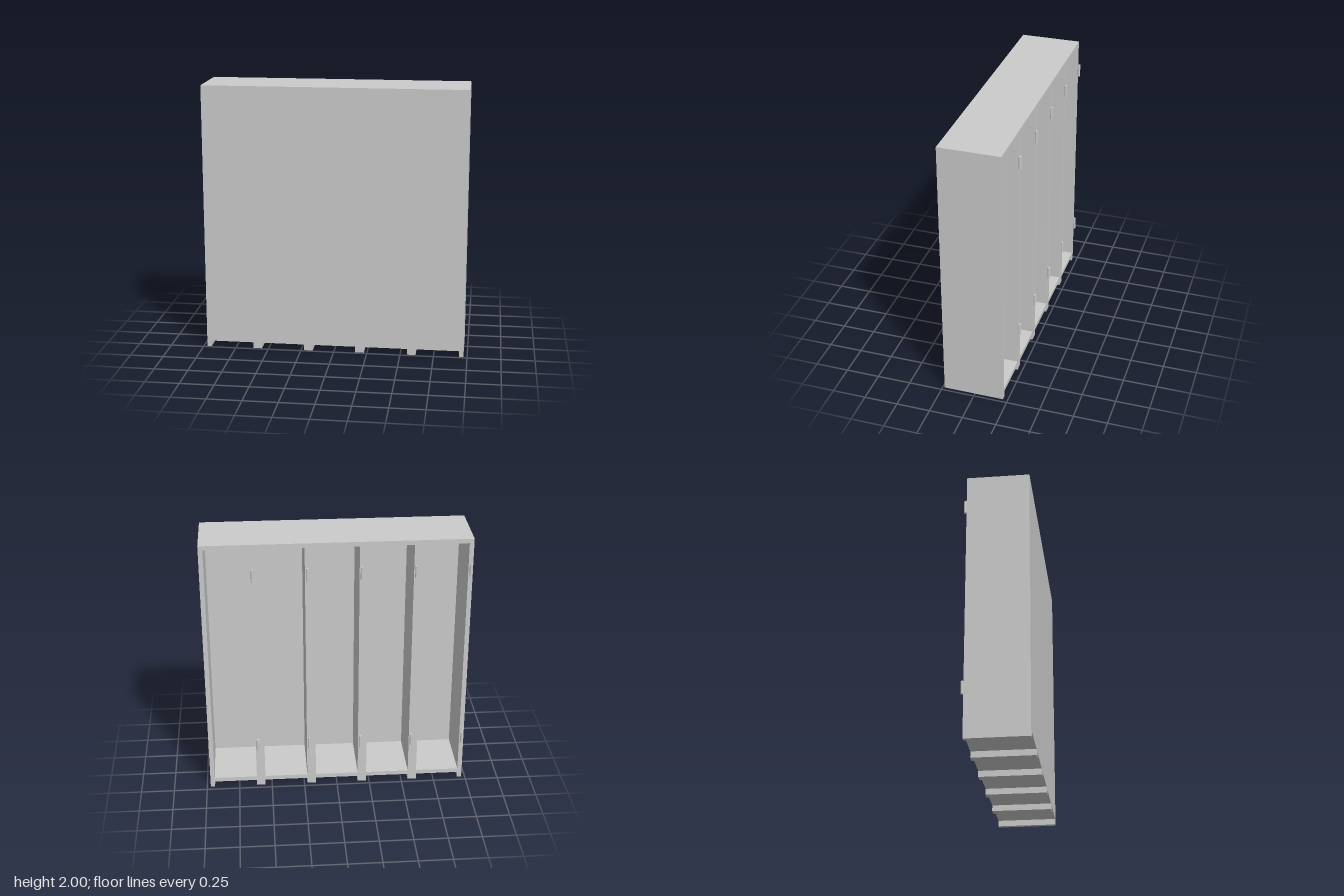
import * as THREE from 'three';

const BAYS = 5, PITCH = 0.389, WALL = 0.033;
const HALF = BAYS * PITCH / 2, HEIGHT = 2, FOOT = 0.045;
const BACK = -0.214, FRONT = 0.235, PANEL = 0.02;

const material = new THREE.MeshStandardMaterial({ color: 0xcccccc });

function addMesh(parent, name, geometry, x = 0, y = 0, z = 0) {
  const mesh = new THREE.Mesh(geometry, material);
  mesh.name = name;
  mesh.position.set(x, y, z);
  parent.add(mesh);
  return mesh;
}

// Outline of the row of lockers, notched along the bottom to leave feet
function outline() {
  const shape = new THREE.Shape();
  shape.moveTo(-HALF, HEIGHT);
  shape.lineTo(-HALF, 0);
  for (let i = 0; i < BAYS; i++) {
    const left = -HALF + i * PITCH + WALL;
    const right = left + PITCH - 2 * WALL;
    shape.lineTo(left, 0);
    shape.lineTo(left, FOOT);
    shape.lineTo(right, FOOT);
    shape.lineTo(right, 0);
  }
  shape.lineTo(HALF, 0);
  shape.lineTo(HALF, HEIGHT);
  shape.closePath();
  return shape;
}

// Rectangular opening of one bay
function opening(i) {
  const left = -HALF + i * PITCH + WALL;
  const right = left + PITCH - 2 * WALL;
  const bottom = FOOT + WALL, top = HEIGHT - WALL;
  return new THREE.Path([
    new THREE.Vector2(left, bottom),
    new THREE.Vector2(left, top),
    new THREE.Vector2(right, top),
    new THREE.Vector2(right, bottom),
  ]);
}

export function createModel() {
  const model = new THREE.Group();
  model.name = 'lockerRow';

  // Frame: sides, dividers, top, floor and feet
  const frame = outline();
  for (let i = 0; i < BAYS; i++) frame.holes.push(opening(i));
  addMesh(model, 'frame', new THREE.ExtrudeGeometry(frame, {
    depth: FRONT - PANEL - BACK, bevelEnabled: false,
  }), 0, 0, BACK);

  // Closed panel on the front side
  addMesh(model, 'closedPanel', new THREE.ExtrudeGeometry(outline(), {
    depth: PANEL, bevelEnabled: false,
  }), 0, 0, FRONT - PANEL);

  // Two hinge pins per bay, on the wall at its -x side
  const pin = new THREE.CylinderGeometry(0.01, 0.01, 0.094, 12);
  for (let i = 0; i < BAYS; i++) {
    for (const y of [0.368, 1.766]) {
      addMesh(model, 'hingePin', pin, -HALF + i * PITCH + WALL / 2, y, BACK - 0.011);
    }
  }
  return model;
}
